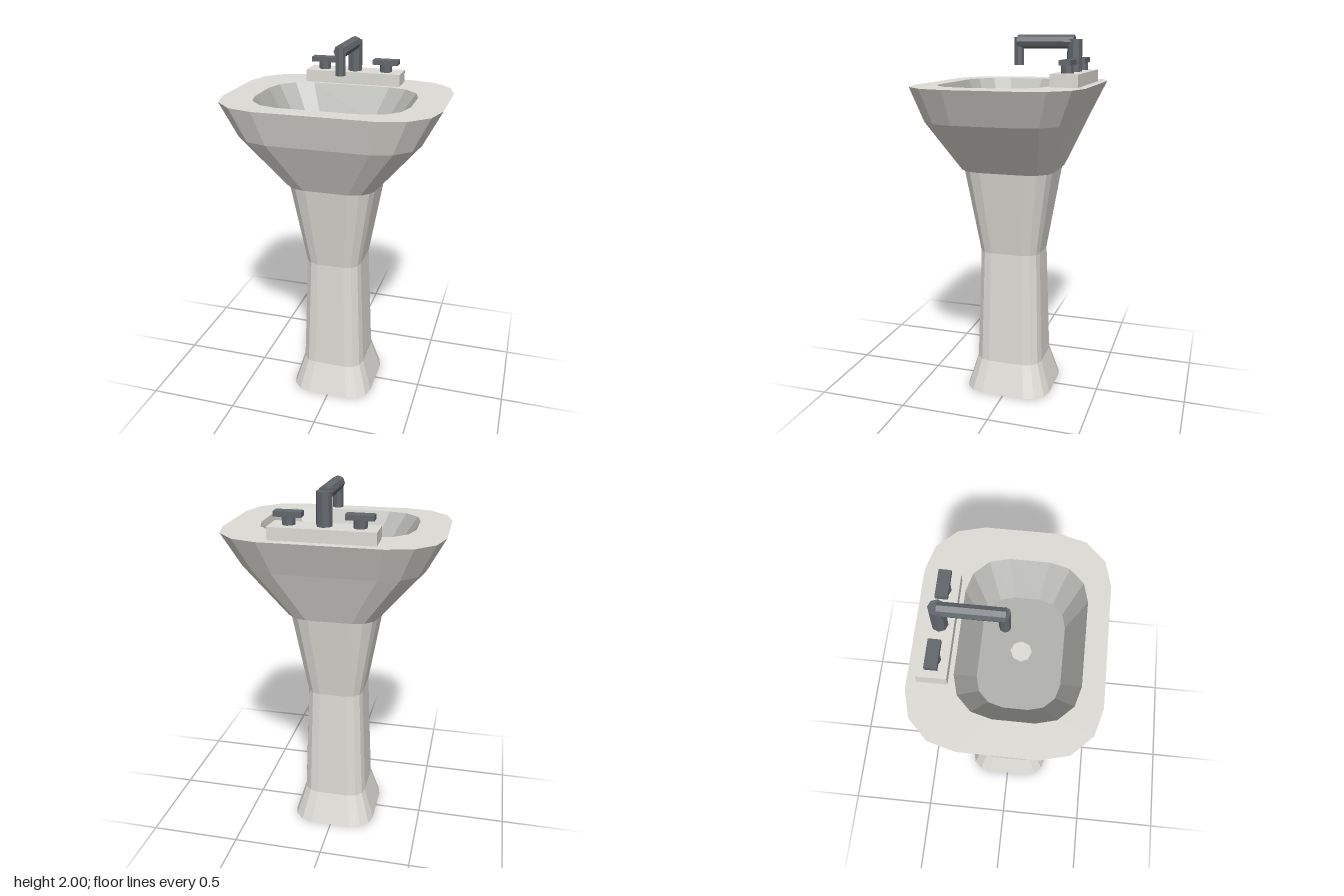
import * as THREE from 'three';

const material = (name, color) => {
  const m = new THREE.MeshStandardMaterial({ color });
  m.name = name;
  m.flatShading = true;
  return m;
};

// Horizontal rounded-rectangle ring: four corners of four points each
function ring(y, halfX, halfZ, radius, centreZ = 0) {
  const points = [];
  const signs = [[1, 1], [-1, 1], [-1, -1], [1, -1]];
  signs.forEach(([sx, sz], corner) => {
    for (let i = 0; i <= 3; i++) {
      const a = (corner + i / 3) * Math.PI / 2;
      points.push(new THREE.Vector3(
        sx * (halfX - radius) + radius * Math.cos(a),
        y,
        centreZ + sz * (halfZ - radius) + radius * Math.sin(a)));
    }
  });
  return points;
}

// Faceted skin through a list of rings; a ring of zero size closes an end
function loft(rings) {
  const positions = [];
  const triangle = (a, b, c) => {
    if (a.distanceTo(b) < 1e-6 || b.distanceTo(c) < 1e-6 || a.distanceTo(c) < 1e-6) return;
    for (const p of [a, b, c]) positions.push(p.x, p.y, p.z);
  };
  for (let k = 0; k < rings.length - 1; k++) {
    const low = rings[k], high = rings[k + 1], n = low.length;
    for (let i = 0; i < n; i++) {
      const j = (i + 1) % n;
      triangle(low[i], high[i], high[j]);
      triangle(low[i], high[j], low[j]);
    }
  }
  const geometry = new THREE.BufferGeometry();
  geometry.setAttribute('position', new THREE.Float32BufferAttribute(positions, 3));
  geometry.computeVertexNormals();
  return geometry;
}

export function createModel() {
  const porcelain = material('porcelain', 0xdedcd6);
  const basinGrey = material('basinGrey', 0xb1b1ad);
  const darkMetal = material('darkMetal', 0x62676c);

  const model = new THREE.Group();
  model.name = 'pedestalSink';
  const add = (name, geometry, mat, x = 0, y = 0, z = 0, parent = model) => {
    const mesh = new THREE.Mesh(geometry, mat);
    mesh.name = name;
    mesh.position.set(x, y, z);
    parent.add(mesh);
    return mesh;
  };
  const post = (radius, height) => new THREE.CylinderGeometry(radius, radius, height, 8);

  // Pedestal with flared foot and neck
  add('pedestal', loft([
    ring(0, 0, 0, 0),
    ring(0, 0.235, 0.245, 0.12),
    ring(0.18, 0.18, 0.19, 0.09),
    ring(0.825, 0.155, 0.17, 0.08),
    ring(1.295, 0.235, 0.245, 0.12),
  ]), porcelain);

  // Bowl shell and flat rim
  const basinTop = ring(1.75, 0.41, 0.2925, 0.195, 0.0525);
  add('bowl', loft([
    ring(1.295, 0, 0, 0),
    ring(1.295, 0.247, 0.256, 0.125),
    ring(1.57, 0.48, 0.382, 0.215, 0.015),
    ring(1.75, 0.575, 0.45, 0.265),
    basinTop,
  ]), porcelain);

  // Inside of the basin, walls and floor
  add('basin', loft([
    basinTop,
    ring(1.58, 0.293, 0.2015, 0.142, 0.0515),
    ring(1.58, 0, 0, 0, 0.0515),
  ]), basinGrey);
  add('drain', post(0.052, 0.012), porcelain, 0, 1.584, 0.05);

  // Raised deck behind the basin
  add('tapDeck', new THREE.BoxGeometry(0.534, 0.067, 0.143), porcelain, 0, 1.7815, -0.333);

  // Spout: upright, arm and outlet
  const spout = new THREE.Group();
  spout.name = 'spout';
  model.add(spout);
  add('spoutUpright', post(0.04, 0.168), darkMetal, 0, 1.896, -0.327, spout);
  const arm = add('spoutArm', post(0.035, 0.305), darkMetal, 0, 1.966, -0.173, spout);
  arm.rotation.x = Math.PI / 2;
  add('spoutOutlet', post(0.027, 0.145), darkMetal, 0, 1.9175, -0.026, spout);

  // Pair of handles
  for (const [side, name] of [[1, 'leftHandle'], [-1, 'rightHandle']]) {
    const handle = new THREE.Group();
    handle.name = name;
    handle.position.set(side * 0.176, 0, -0.33);
    model.add(handle);
    add('handleStem', post(0.034, 0.05), darkMetal, 0, 1.836, 0, handle);
    add('handleBar', new THREE.BoxGeometry(0.14, 0.026, 0.06), darkMetal, 0, 1.868, 0, handle);
  }
  return model;
}
